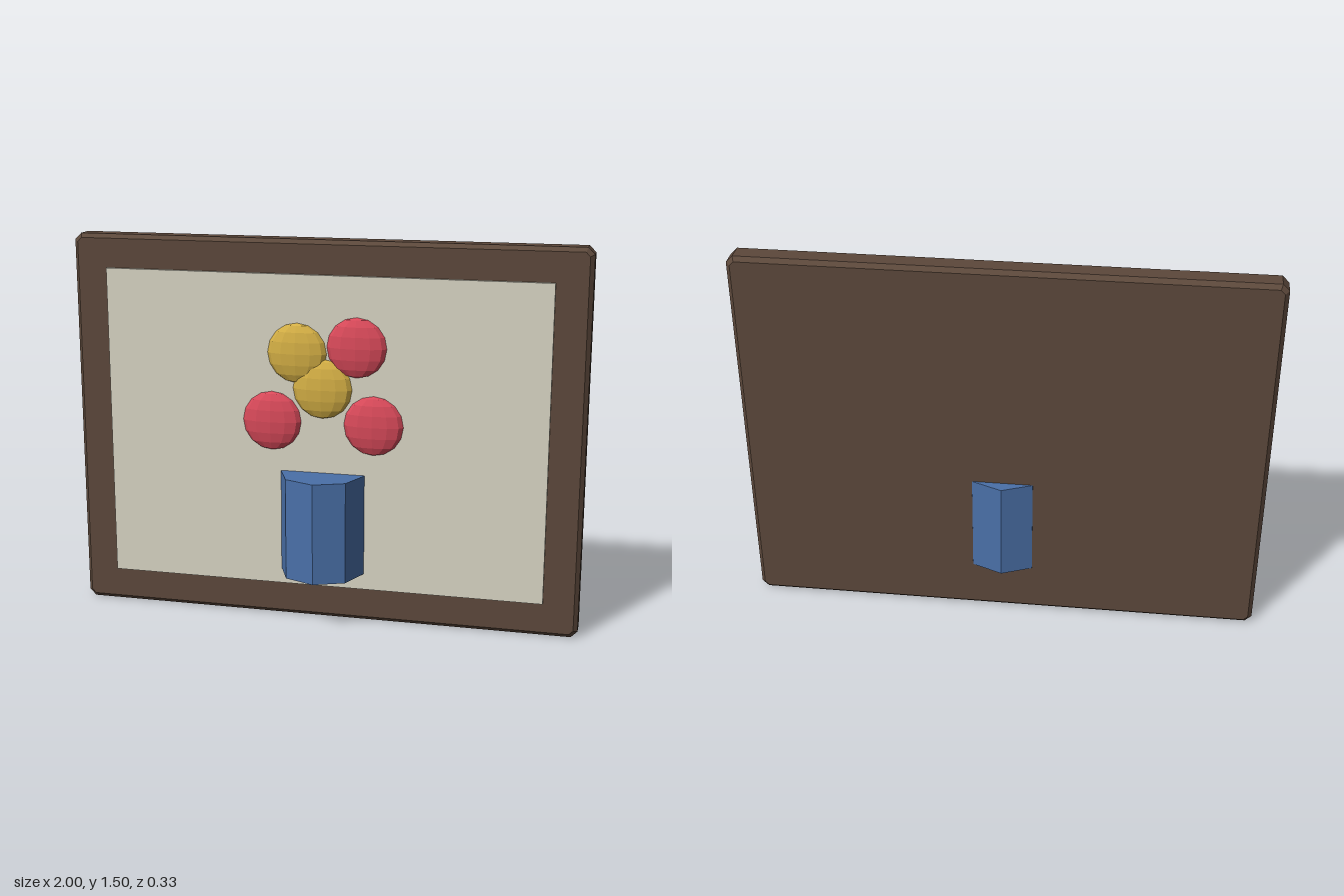
import * as THREE from 'three';

const mat = (name, color) => {
  const m = new THREE.MeshStandardMaterial({ color, flatShading: true });
  m.name = name;
  return m;
};

export function createModel() {
  const brown = mat('dark wood', 0x5c483b);
  const cream = mat('cream canvas', 0xd8d4c4);
  const blue = mat('blue glaze', 0x4a70a8);
  const red = mat('red petals', 0xd94a5a);
  const yellow = mat('yellow petals', 0xd4af45);

  const group = new THREE.Group();
  const add = (name, geometry, material, x, y, z) => {
    const mesh = new THREE.Mesh(geometry, material);
    mesh.name = name;
    mesh.position.set(x, y, z);
    group.add(mesh);
    return mesh;
  };

  // Solid frame board with chamfered edges and corners
  const c = 0.016, w = 1 - c, h = 0.75 - c;
  const outline = new THREE.Shape([
    [-w + c, -h], [w - c, -h], [w, -h + c], [w, h - c],
    [w - c, h], [-w + c, h], [-w, h - c], [-w, -h + c],
  ].map(([x, y]) => new THREE.Vector2(x, y)));
  const board = new THREE.ExtrudeGeometry(outline, {
    depth: 0.1 - 2 * c, bevelThickness: c, bevelSize: c, bevelSegments: 1,
  });
  add('frame', board, brown, 0, 0.75, -0.117 + c);

  // Canvas panel standing slightly proud of the frame
  add('canvas', new THREE.BoxGeometry(1.73, 1.235, 0.05), cream, 0, 0.7525, -0.029);

  // Octagonal vase passing through the board
  add('vase', new THREE.CylinderGeometry(0.166, 0.166, 0.4, 8), blue, 0, 0.4, 0);

  // Flattened blossoms
  const blossom = new THREE.SphereGeometry(0.116, 12, 8);
  [
    [-0.2, 0.8, red], [0.2, 0.8, red], [0.133, 1.1, red],
    [0, 0.935, yellow], [-0.1, 1.07, yellow],
  ].forEach(([x, y, m], i) => {
    add('blossom' + (i + 1), blossom, m, x, y, 0).scale.z = 0.3;
  });

  return group;
}
